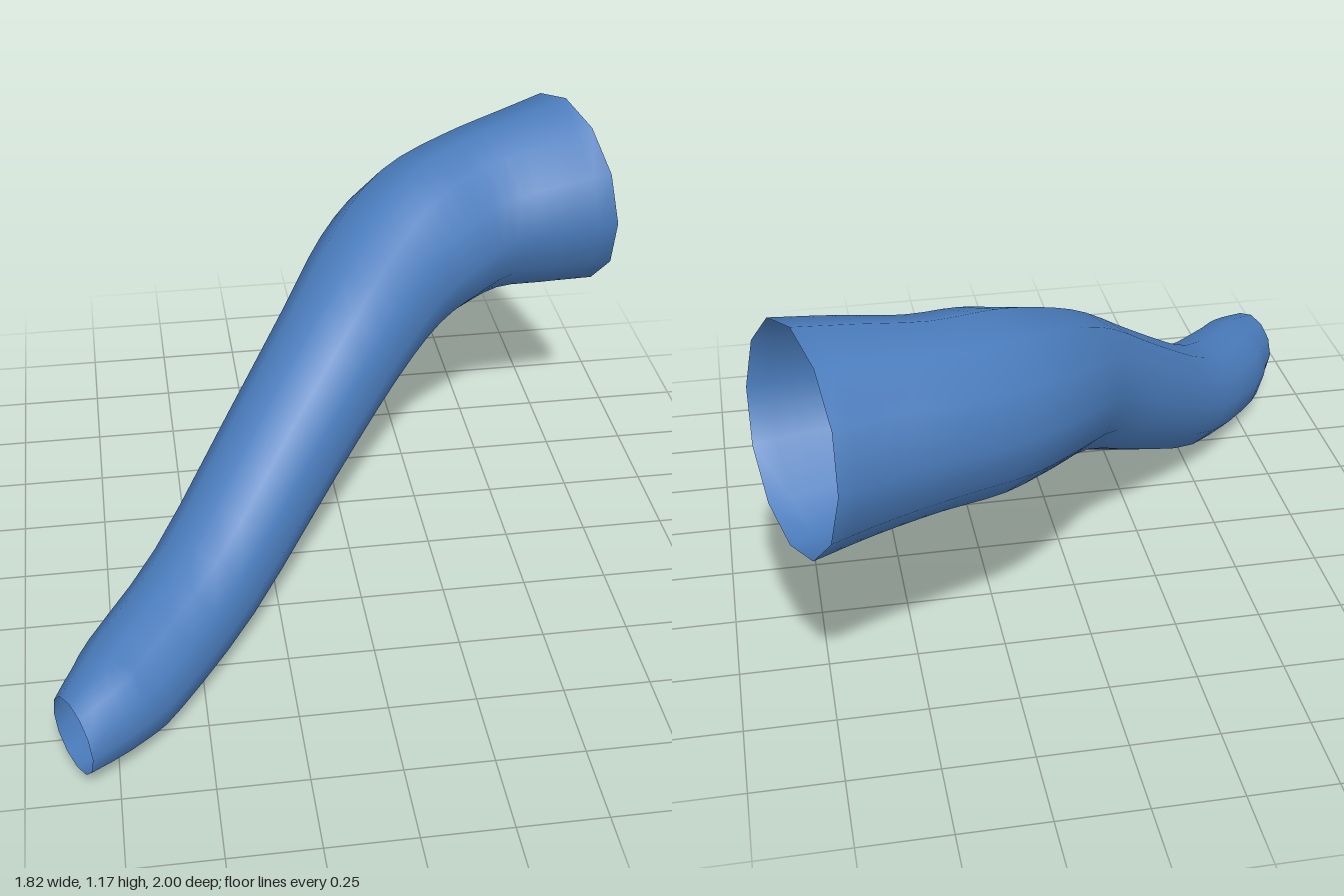
import * as THREE from 'three';

const SIDES = 12;
const STEPS = 3; // rings per section

// Sections along the tube: centre x, y, z and radius
const SECTIONS = [
  [-0.863, 0.153, 0.897, 0.111],
  [-0.765, 0.163, 0.80, 0.138],
  [-0.69, 0.168, 0.69, 0.157],
  [-0.475, 0.247, 0.41, 0.168],
  [-0.21, 0.472, 0.08, 0.185],
  [-0.005, 0.655, -0.16, 0.202],
  [0.15, 0.757, -0.36, 0.228],
  [0.30, 0.814, -0.50, 0.253],
  [0.47, 0.848, -0.60, 0.258],
  [0.65, 0.863, -0.655, 0.283],
  [0.815, 0.868, -0.705, 0.309],
];

const smoothCurve = (points) => new THREE.CatmullRomCurve3(points, false, 'catmullrom', 0.5);

// Open tube whose rings follow the centre line, radius and cut direction
function tubeGeometry() {
  const last = SECTIONS.length - 1;
  const centres = smoothCurve(SECTIONS.map(([x, y, z]) => new THREE.Vector3(x, y, z)));
  const radii = smoothCurve(SECTIONS.map((s) => new THREE.Vector3(s[3], 0, 0)));
  const axes = SECTIONS.map((s, i) => centres.getTangent(i / last));
  axes[0].set(0.9, 0.03, -0.44).normalize(); // both mouths are cut slightly askew
  axes[last].set(0.95, 0.07, -0.307).normalize();
  const directions = smoothCurve(axes);

  const positions = [];
  const indices = [];
  const up = new THREE.Vector3(0, 1, 0);
  const rings = last * STEPS;
  for (let i = 0; i <= rings; i++) {
    const u = i / rings;
    const centre = centres.getPoint(u);
    const radius = radii.getPoint(u).x;
    const axis = directions.getPoint(u).normalize();
    const side = new THREE.Vector3().crossVectors(up, axis).normalize();
    const rise = new THREE.Vector3().crossVectors(axis, side);
    for (let j = 0; j < SIDES; j++) {
      const angle = (j / SIDES) * Math.PI * 2;
      const p = centre.clone()
        .addScaledVector(side, radius * Math.cos(angle))
        .addScaledVector(rise, radius * Math.sin(angle));
      positions.push(p.x, p.y, p.z);
      if (i < rings) {
        const a = i * SIDES + j;
        const b = i * SIDES + ((j + 1) % SIDES);
        indices.push(a, b, a + SIDES, b, b + SIDES, a + SIDES);
      }
    }
  }
  const geometry = new THREE.BufferGeometry();
  geometry.setAttribute('position', new THREE.Float32BufferAttribute(positions, 3));
  geometry.setIndex(indices);
  geometry.computeVertexNormals();
  return geometry;
}

export function createModel() {
  const blue = new THREE.MeshStandardMaterial({ color: 0x4a7cbc });
  blue.name = 'blue';
  blue.side = THREE.DoubleSide; // hollow, open at both ends

  const tube = new THREE.Mesh(tubeGeometry(), blue);
  tube.name = 'curvedTube';

  const model = new THREE.Group();
  model.name = 'taperedTube';
  model.add(tube);
  return model;
}
